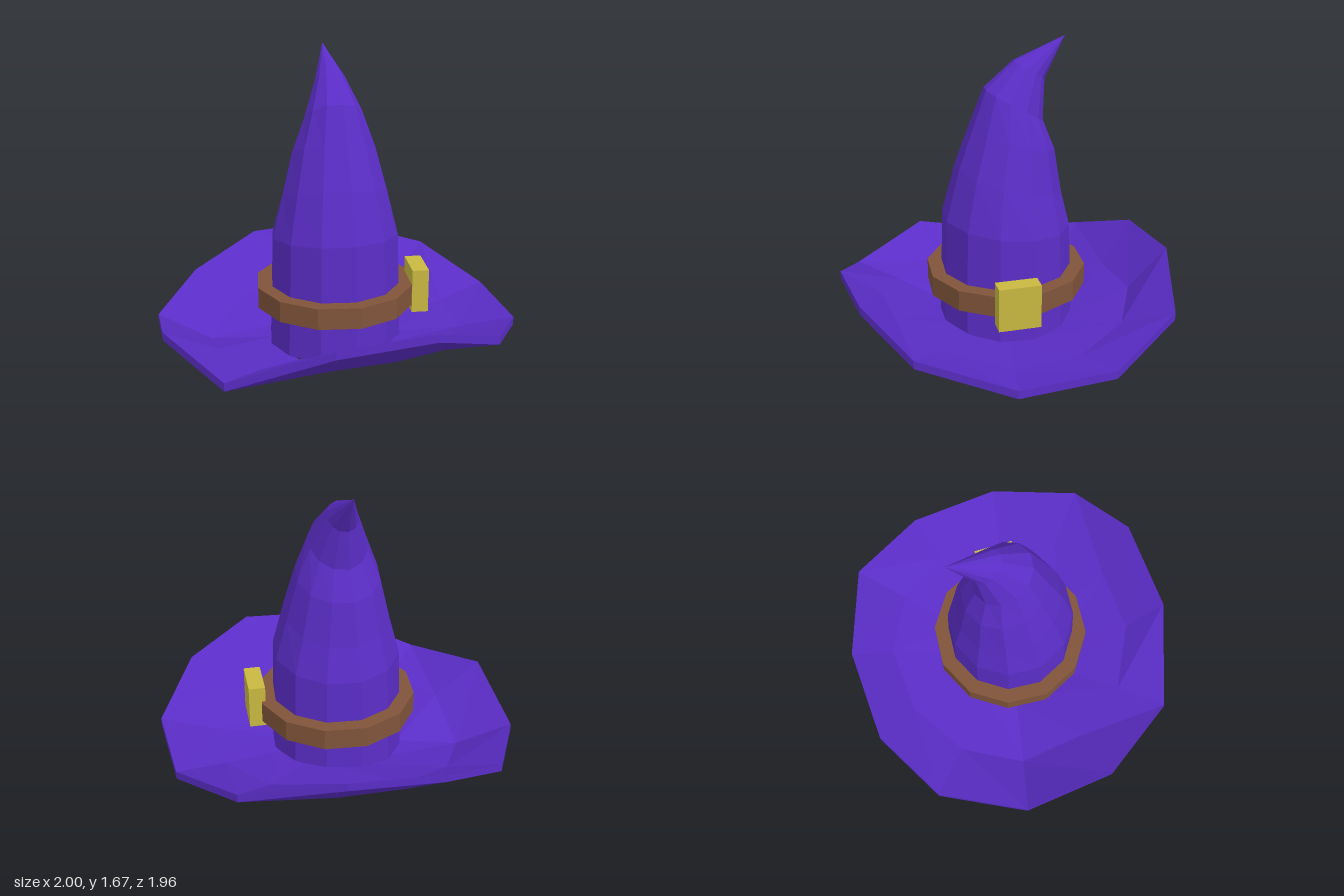
import * as THREE from 'three';

const SIDES = 12;
const TURN = -0.14; // shared twist of the crown and band

const paint = (color) => new THREE.MeshStandardMaterial({ color, flatShading: true });

// Skins a stack of rings, each a list of SIDES points, ordered from the top outward and down
function skin(rings) {
  const positions = rings.flat().flatMap((p) => p.toArray());
  const index = [];
  for (let j = 0; j < rings.length - 1; j++) {
    for (let i = 0; i < SIDES; i++) {
      const k = (i + 1) % SIDES;
      const a = j * SIDES + i, b = a + SIDES;
      const c = (j + 1) * SIDES + k, d = j * SIDES + k;
      index.push(a, b, c, a, c, d);
    }
  }
  const indexed = new THREE.BufferGeometry();
  indexed.setAttribute('position', new THREE.Float32BufferAttribute(positions, 3));
  indexed.setIndex(index);
  const geometry = indexed.toNonIndexed();
  geometry.computeVertexNormals();
  return geometry;
}

// Wavy brim: rim x, rim z, rim height, height halfway in
function brimGeometry() {
  const rim = [
    [0, 0.975, 0.21, 0.16], [0.5, 0.75, 0.42, 0.25], [0.855, 0.39, 0.46, 0.27],
    [0.995, 0, 0.33, 0.22], [0.855, -0.49, 0.22, 0.155], [0.48, -0.85, 0.22, 0.165],
    [0, -0.98, 0.34, 0.21], [-0.5, -0.76, 0.45, 0.24], [-0.865, -0.41, 0.41, 0.22],
    [-1, 0, 0.26, 0.13], [-0.865, 0.485, 0.18, 0.045], [-0.505, 0.845, 0.3, 0.15],
  ];
  const thickness = 0.045;
  const circle = (radius, height) => rim.map((r, i) => {
    const t = (i / SIDES) * Math.PI * 2;
    const x = radius * Math.sin(t), z = radius * Math.cos(t);
    return new THREE.Vector3(x, height(r, x, z), z);
  });
  const inner = circle(0.345, (r, x, z) => 0.1 + 0.05 * (x - z) + 0.15 * (r[2] - 0.25));
  const middle = circle(0.69, (r) => r[3]);
  const outer = rim.map(([x, z, y]) => new THREE.Vector3(x, y, z));
  const lower = (ring) => ring.map((p) => new THREE.Vector3(p.x, p.y - thickness, p.z));
  const centre = circle(0, () => 0.05);
  return skin([inner, middle, outer, lower(outer), lower(middle), lower(inner), centre]);
}

// Bent crown: diagonal offset, height, radius and tilt of each ring, tip first
function crownGeometry() {
  const sections = [
    [-0.23, 1.67, 0, 0], [-0.09, 1.505, 0.082, 0.45], [-0.03, 1.33, 0.155, 0.42],
    [-0.025, 1.15, 0.225, 0.22], [-0.01, 0.92, 0.285, 0.2], [0, 0.69, 0.345, 0.075],
    [0, 0.09, 0.365, 0],
  ];
  return skin(sections.map(([shift, y, radius, tilt]) =>
    Array.from({ length: SIDES }, (_, i) => {
      const t = TURN + (i / SIDES) * Math.PI * 2;
      const x = radius * Math.sin(t), z = radius * Math.cos(t);
      return new THREE.Vector3(shift + x, y + tilt * (x + z), shift + z);
    })));
}

// Square-section hoop around the crown
function bandGeometry() {
  const profile = [[0.433, 0.31], [0.433, 0.425], [0.35, 0.425], [0.35, 0.31], [0.433, 0.31]]
    .map(([r, y]) => new THREE.Vector2(r, y));
  return new THREE.LatheGeometry(profile, SIDES, TURN);
}

export function createModel() {
  const hat = new THREE.Group();
  hat.name = 'pointedHat';
  const cloth = paint(0x5a2dc6);

  const add = (name, geometry, material) => {
    const mesh = new THREE.Mesh(geometry, material);
    mesh.name = name;
    hat.add(mesh);
    return mesh;
  };

  add('brim', brimGeometry(), cloth);
  add('crown', crownGeometry(), cloth);
  add('band', bandGeometry(), paint(0x80543a));

  // Buckle on the back left of the band
  const buckle = add('buckle', new THREE.BoxGeometry(0.225, 0.24, 0.09), paint(0xc8b840));
  buckle.position.set(0.37, 0.39, -0.255);
  buckle.rotation.y = 2.28;

  return hat;
}
